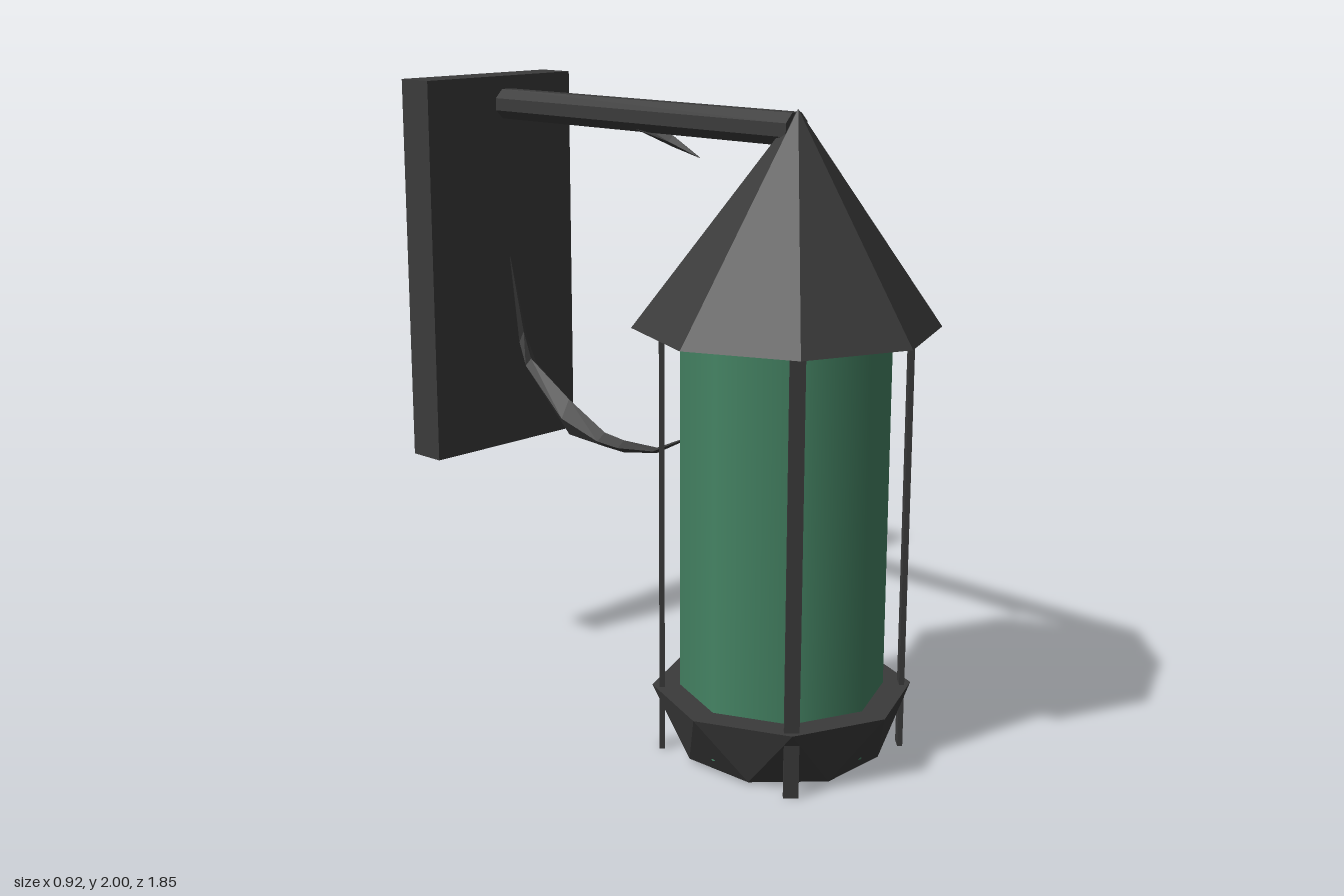
import * as THREE from 'three';
import { ConvexGeometry } from 'three/addons/geometries/ConvexGeometry.js';

const LAMP_Z = 0.465;

// Pointed leaf-like bar: diamond sections [z, yBottom, yTop, halfWidth], running towards -z
function leafGeometry(sections) {
  const pos = [], idx = [];
  sections.forEach(([z, lo, hi, w], i) => {
    const mid = (lo + hi) / 2;
    pos.push(w, mid, z, 0, hi, z, -w, mid, z, 0, lo, z);
    if (i === sections.length - 1) return;
    for (let k = 0; k < 4; k++) {
      const a = i * 4 + k, b = i * 4 + (k + 1) % 4;
      idx.push(a, a + 4, b, b, a + 4, b + 4);
    }
  });
  const g = new THREE.BufferGeometry();
  g.setAttribute('position', new THREE.Float32BufferAttribute(pos, 3));
  g.setIndex(idx);
  g.computeVertexNormals();
  return g;
}

// Corners of a level octagon
function octagon(radius, y, turn) {
  return Array.from({ length: 8 }, (_, i) => {
    const a = i * Math.PI / 4 + turn;
    return new THREE.Vector3(Math.sin(a) * radius, y, Math.cos(a) * radius);
  });
}

export function createModel() {
  const iron = new THREE.MeshStandardMaterial({ color: 0x3b3b3b, flatShading: true, side: THREE.DoubleSide });
  iron.name = 'dark iron';
  const glass = new THREE.MeshStandardMaterial({ color: 0x458464 });
  glass.name = 'green glass';
  const beige = new THREE.MeshStandardMaterial({ color: 0xa89c88, side: THREE.DoubleSide });
  beige.name = 'beige';

  const model = new THREE.Group();
  model.name = 'wallLantern';
  const lantern = new THREE.Group();
  lantern.name = 'lantern';
  lantern.position.z = LAMP_Z;
  model.add(lantern);

  function add(parent, name, geometry, material, x = 0, y = 0, z = 0) {
    const mesh = new THREE.Mesh(geometry, material);
    mesh.name = name;
    mesh.position.set(x, y, z);
    parent.add(mesh);
    return mesh;
  }

  // Wall plate
  add(model, 'wallPlate', new THREE.BoxGeometry(0.62, 1.26, 0.13), iron, 0, 1.37, -0.855);

  // Horizontal arm, flat on top
  const armGeo = new THREE.CylinderGeometry(0.052, 0.052, 1.25, 8);
  armGeo.rotateY(Math.PI / 8);
  armGeo.rotateX(Math.PI / 2);
  add(model, 'arm', armGeo, iron, 0, 1.912, -0.135);

  // Wrought scroll pieces under the arm
  add(model, 'upperScroll', leafGeometry([
    [0.11, 1.8, 1.803, 0.003], [0.0, 1.825, 1.86, 0.02],
    [-0.14, 1.865, 1.885, 0.03], [-0.3, 1.89, 1.9, 0.01],
  ]), iron);
  add(model, 'lowerScroll', leafGeometry([
    [0.11, 0.936, 0.94, 0.003], [-0.07, 0.842, 0.86, 0.02], [-0.22, 0.815, 0.856, 0.03],
    [-0.31, 0.818, 0.866, 0.035], [-0.48, 0.828, 0.95, 0.035],
    [-0.665, 1.02, 1.06, 0.025], [-0.7, 1.08, 1.15, 0.02], [-0.76, 1.395, 1.4, 0.003],
  ]), iron);

  // Eight-sided roof with the tip nudged forward
  const roofGeo = new THREE.ConeGeometry(0.46, 0.64, 8);
  const p = roofGeo.attributes.position;
  for (let i = 0; i < p.count; i++) if (p.getY(i) > 0.3) p.setZ(i, 0.03);
  add(lantern, 'roof', roofGeo, iron, 0, 1.65, 0);

  // Glass body
  add(lantern, 'glassBody', new THREE.CylinderGeometry(0.315, 0.315, 1.28, 8), glass, 0, 0.69, 0);

  // Faceted base: the lower octagon is turned half a step against the upper one
  add(lantern, 'base', new ConvexGeometry([
    ...octagon(0.4, 0.205, 0), ...octagon(0.312, 0.01, Math.PI / 8),
  ]), iron);

  // Pale panel under the base
  const panel = new THREE.ShapeGeometry(new THREE.Shape([
    new THREE.Vector2(-0.115, 0.28), new THREE.Vector2(0.09, 0.08),
    new THREE.Vector2(0.13, -0.22), new THREE.Vector2(0.115, -0.28),
  ]));
  panel.rotateX(Math.PI / 2);
  add(lantern, 'bottomPanel', panel, beige, 0, 0.006, 0);

  // Four flat uprights on the diagonals
  for (let i = 0; i < 4; i++) {
    const a = Math.PI / 4 + i * Math.PI / 2;
    const bar = add(lantern, 'upright', new THREE.BoxGeometry(0.045, 1.335, 0.016), iron,
      Math.sin(a) * 0.37, 0.6675, Math.cos(a) * 0.37);
    bar.rotation.y = a;
  }
  return model;
}
